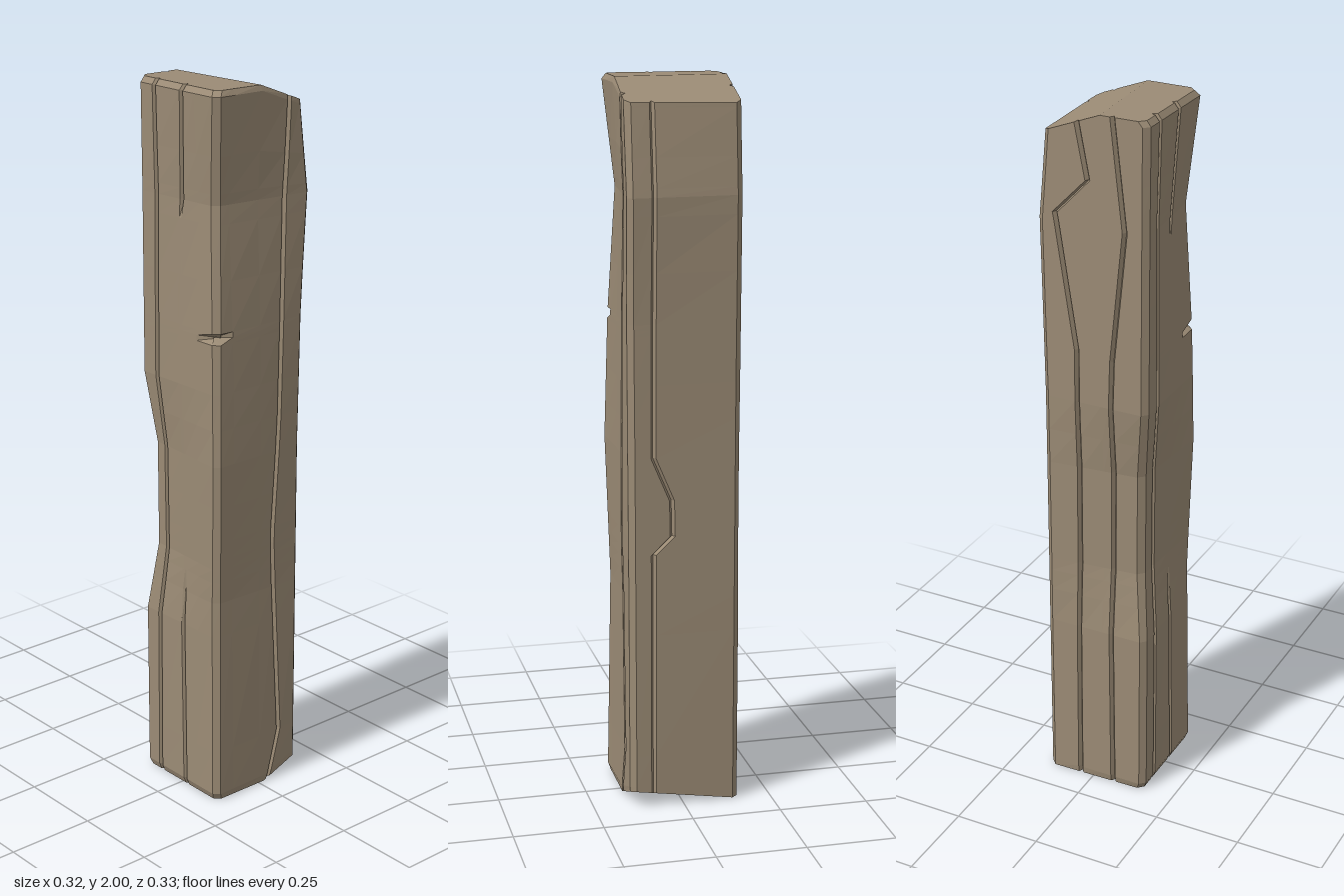
import * as THREE from 'three';

// Piecewise-linear track: keys are [y, value, value...]
function track(keys, y) {
  if (y <= keys[0][0]) return keys[0].slice(1);
  for (let i = 1; i < keys.length; i++) {
    const a = keys[i - 1], b = keys[i];
    if (y <= b[0]) {
      const t = (y - a[0]) / (b[0] - a[0]);
      return a.slice(1).map((v, k) => v + (b[k + 1] - v) * t);
    }
  }
  return keys[keys.length - 1].slice(1);
}

// The four corner edges of the beam as [y, x, z], in ring order
const corners = [
  [[0, -0.152, 0.156], [0.02, -0.158, 0.164], [0.5, -0.158, 0.164], [0.7, -0.13, 0.142],
    [1, -0.13, 0.142], [1.2, -0.158, 0.164], [1.985, -0.158, 0.164], [2, -0.158, 0.152]],
  [[0, 0.148, 0.156], [0.02, 0.155, 0.164], [0.6, 0.145, 0.156], [1, 0.158, 0.164],
    [1.35, 0.148, 0.156], [1.7, 0.127, 0.141], [1.985, 0.158, 0.164], [2, 0.148, 0.152]],
  [[0, 0.15, -0.145], [1, 0.152, -0.145], [1.4, 0.155, -0.15], [1.7, 0.158, -0.166], [2, 0.157, -0.136]],
  [[0, -0.158, -0.14], [1.2, -0.158, -0.143], [1.7, -0.158, -0.152], [2, -0.158, -0.131]],
];

// Lines along each side: a track of [y, position, depth]; flat ones only divide the face
const D = 0.011;
const sides = [
  { axis: 0, inward: [0, -1], lines: [
    { keys: [[0, -0.09, D], [0.5, -0.088, D], [0.7, -0.072, D], [1, -0.074, D], [1.2, -0.088, D], [2, -0.088, D]] },
    { keys: [[0, 0.02, D], [0.5, 0.01, D], [0.66, 0.01, 0], [1.65, 0.004, 0], [1.7, 0.006, D], [2, 0.022, D]] },
    { flat: true, keys: [[0, 0.07, 0]] }] },
  { axis: 1, inward: [-1, 0], lines: [
    { flat: true, keys: [[0, 0.1, 0]] },
    { flat: true, split: true, keys: [[0, -0.02, 0], [0.15, 0, 0], [2, 0.01, 0]] },
    { keys: [[0, -0.034, D], [0.15, -0.072, D], [0.75, -0.042, D], [1.1, -0.062, D], [2, -0.085, D]] }] },
  { axis: 0, inward: [0, 1], lines: [
    { keys: [[0, 0.085, D], [0.73, 0.085, D], [0.78, 0.032, D], [0.88, 0.034, D], [1, 0.085, D], [2, 0.085, D]] }] },
  { axis: 1, inward: [1, 0], lines: [
    { keys: [[0, -0.04, D], [1.35, -0.04, D], [1.73, -0.1, D], [1.83, -0.005, D], [2, -0.035, D]] },
    { flat: true, split: true, keys: [[0, 0.03, 0]] },
    { keys: [[0, 0.065, D], [0.7, 0.058, D], [1.3, 0.06, D], [1.7, 0.1, D], [2, 0.065, D]] }] },
];

// Sloping back half of the top and the broken bottom corner
const topY = (x, z) => 2 - 0.39 * Math.max(0, 0.02 - 0.0625 * x - z);
const bottomY = (x, z) => 0.4 * Math.max(0, -0.08 + 0.4 * x - z);

function ring(y) {
  const pts = [], splits = [];
  let chipEnd = 0;
  const c = corners.map((k) => track(k, y));
  sides.forEach(({ axis, inward, lines }, s) => {
    const a = c[s], b = c[(s + 1) % 4], dir = Math.sign(b[axis] - a[axis]);
    const add = (pos, depth) => {
      const t = (pos - a[axis]) / (b[axis] - a[axis]);
      const x = a[0] + (b[0] - a[0]) * t + inward[0] * depth;
      const z = a[1] + (b[1] - a[1]) * t + inward[1] * depth;
      let h = y;
      if (y > 1.7) h = 1.7 + (y - 1.7) * (topY(x, z) - 1.7) / 0.3;
      if (y < 0.15) h = y + bottomY(x, z) * (1 - y / 0.15);
      pts.push(new THREE.Vector3(x, h, z));
    };
    // Small horizontal nick cut into the front corner
    const nick = y === 1.35 ? 0.03 : 0;
    add(a[axis] + dir * 0.016, s === 1 ? nick : 0);
    for (const line of lines) {
      const [pos, depth] = track(line.keys, y);
      if (line.split) splits.push(pts.length);
      if (line.flat) add(pos, 0);
      else {
        add(pos - dir * 0.007, 0);
        add(pos, depth);
        add(pos + dir * 0.007, 0);
      }
    }
    if (s === 2) chipEnd = pts.length;
    add(b[axis] - dir * 0.016, s === 0 ? nick : 0);
  });
  return { pts, splits, chipEnd };
}

export function createModel() {
  const levels = [0, 0.02, 0.15, 0.5, 0.6, 0.66, 0.7, 0.73, 0.78, 0.88, 1, 1.1, 1.2, 1.335, 1.35,
    1.365, 1.5, 1.65, 1.7, 1.73, 1.83, 1.985, 2];
  const rings = levels.map(ring);
  const n = rings[0].pts.length;
  const out = [];
  const tri = (...p) => p.forEach((v) => out.push(v.x, v.y, v.z));

  // Long sides
  for (let i = 0; i + 1 < rings.length; i++) {
    const lo = rings[i].pts, hi = rings[i + 1].pts;
    for (let j = 0; j < n; j++) {
      const k = (j + 1) % n;
      tri(lo[j], lo[k], hi[k]);
      tri(lo[j], hi[k], hi[j]);
    }
  }

  // End caps, each split into two planes between ring points a and b
  const cap = (pts, a, b, up) => {
    const halves = [pts.slice(a, b + 1), [...pts.slice(b), ...pts.slice(0, a + 1)]];
    for (const half of halves) {
      const flat = half.map((p) => new THREE.Vector2(p.x, -p.z));
      for (const [i, j, k] of THREE.ShapeUtils.triangulateShape(flat, [])) {
        if (up) tri(half[i], half[j], half[k]);
        else tri(half[i], half[k], half[j]);
      }
    }
  };
  const first = rings[0], last = rings[rings.length - 1];
  cap(last.pts, last.splits[0], last.splits[1], true);
  cap(first.pts, first.splits[0], first.chipEnd, false);

  const geometry = new THREE.BufferGeometry();
  geometry.setAttribute('position', new THREE.Float32BufferAttribute(out, 3));
  geometry.computeVertexNormals();
  const material = new THREE.MeshStandardMaterial({ color: 0x9b8b75, flatShading: true });
  const beam = new THREE.Mesh(geometry, material);
  beam.name = 'woodenBeam';
  const group = new THREE.Group();
  group.name = 'woodenPost';
  group.add(beam);
  return group;
}
